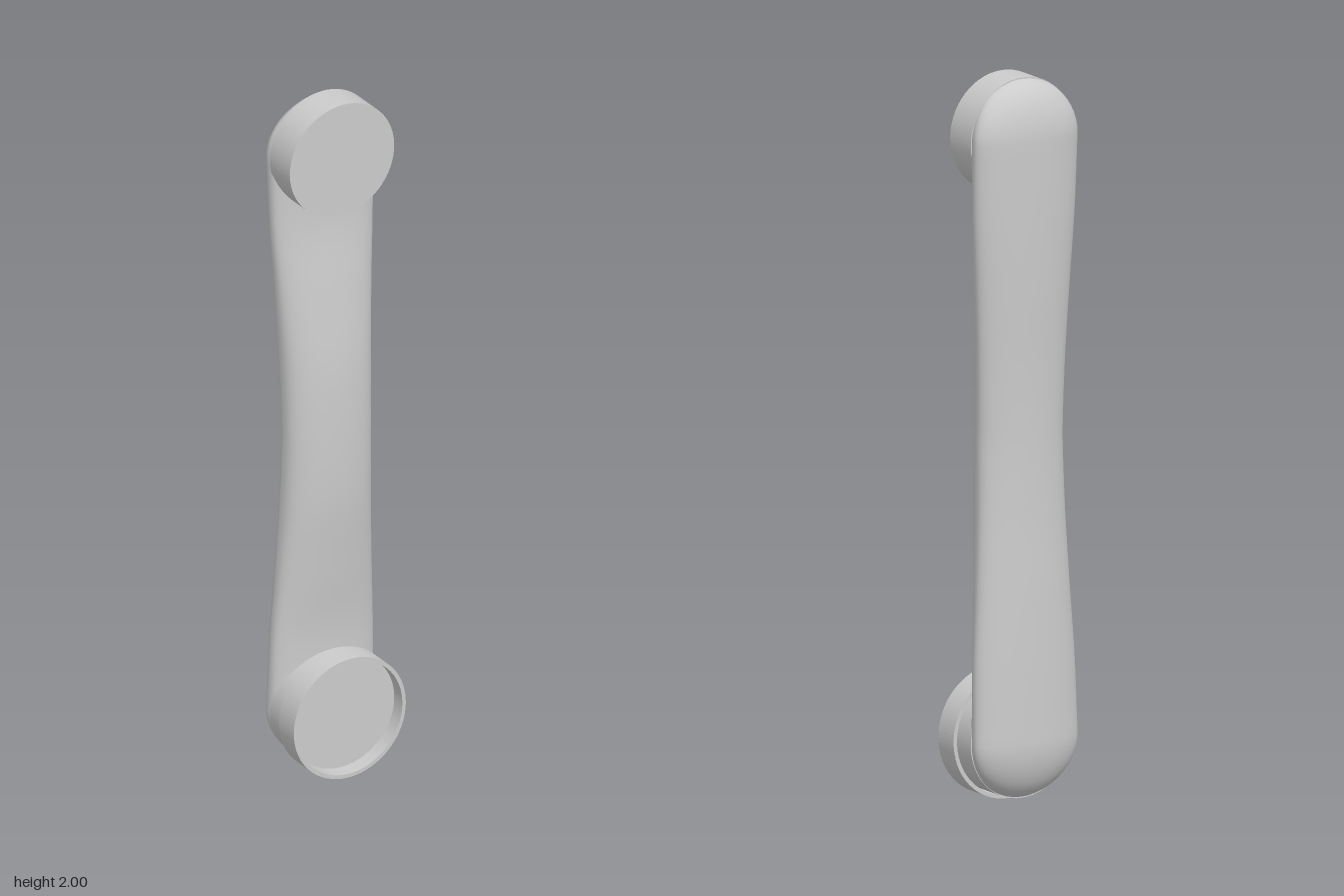
import * as THREE from 'three';

const MID = 1.0075, HALF = 0.8275, R = 0.164; // grip centre, distance to each cup axis, cup radius
const mat = new THREE.MeshStandardMaterial({ color: 0xcccccc });

// Half width, front z and back z from the middle of the grip to the cup axis
const half = [
  [0.133, 0.056, -0.085],
  [0.137, 0.051, -0.088],
  [0.147, 0.031, -0.096],
  [0.159, 0.010, -0.102],
  [R, 0.012, -0.106],
].map(p => new THREE.Vector3(...p));
const profile = new THREE.CatmullRomCurve3([...half.slice(1).reverse(), ...half], false, 'catmullrom', 0.5);

// All sections of the body, bottom to top: y, half width, front, rim and back z
function bodySections() {
  const list = [];
  const CAP = 14, LEN = 56;
  const cap = (sign, i) => {
    const phi = (i / CAP) * Math.PI / 2, c = Math.cos(phi);
    list.push({
      y: MID + sign * (HALF + R * Math.sin(phi)),
      w: R * c,
      front: -0.02 + 0.032 * c,
      rim: -0.02 - 0.03 * c * c,
      back: -0.02 - 0.086 * c,
    });
  };
  for (let i = CAP; i > 0; i--) cap(-1, i);
  for (let i = 0; i <= LEN; i++) {
    const t = i / LEN, p = profile.getPoint(t), s = Math.abs(2 * t - 1);
    list.push({ y: MID + HALF * (2 * t - 1), w: p.x, front: p.y, rim: -0.02 - 0.03 * s, back: p.z });
  }
  for (let i = 1; i <= CAP; i++) cap(1, i);
  return list;
}

// Smooth loft with a domed back and a slightly flatter front
function bodyGeometry() {
  const N = 48, pos = [], idx = [];
  const sections = bodySections();
  sections.forEach((s, i) => {
    for (let j = 0; j < N; j++) {
      const a = (j / N) * Math.PI * 2, sin = Math.sin(a);
      const z = sin >= 0
        ? s.rim + (s.back - s.rim) * sin
        : s.rim + (s.front - s.rim) * Math.pow(-sin, 0.8);
      pos.push(s.w * Math.cos(a), s.y, z);
      if (i < sections.length - 1) {
        const k = (j + 1) % N, p = i * N + j, q = i * N + k;
        idx.push(p, q, p + N, q, q + N, p + N);
      }
    }
  });
  const g = new THREE.BufferGeometry();
  g.setAttribute('position', new THREE.Float32BufferAttribute(pos, 3));
  g.setIndex(idx);
  g.computeVertexNormals();
  return g;
}

// Round cup facing +z
function cup(name, y) {
  const z0 = -0.035, z1 = 0.065;
  const g = new THREE.CylinderGeometry(R + 0.001, R + 0.001, z1 - z0, 56).rotateX(Math.PI / 2);
  const m = new THREE.Mesh(g, mat);
  m.name = name;
  m.position.set(0, y, (z0 + z1) / 2);
  return m;
}

// Open collar around the lower cup, with its face recessed inside
function collar(y) {
  const g = new THREE.ExtrudeGeometry(
    (() => {
      const s = new THREE.Shape().absarc(0, 0, 0.177, 0, Math.PI * 2);
      s.holes.push(new THREE.Path().absarc(0, 0, 0.166, 0, Math.PI * 2, true));
      return s;
    })(),
    { depth: 0.074, bevelEnabled: false, curveSegments: 56 },
  );
  const m = new THREE.Mesh(g, mat);
  m.name = 'mouthpieceCollar';
  m.position.set(0, y, 0.03);
  return m;
}

export function createModel() {
  const group = new THREE.Group();
  group.name = 'handset';

  const body = new THREE.Mesh(bodyGeometry(), mat);
  body.name = 'grip';
  group.add(body);

  group.add(cup('earpiece', MID + HALF));
  group.add(cup('mouthpiece', MID - HALF));
  group.add(collar(0.178));
  return group;
}
